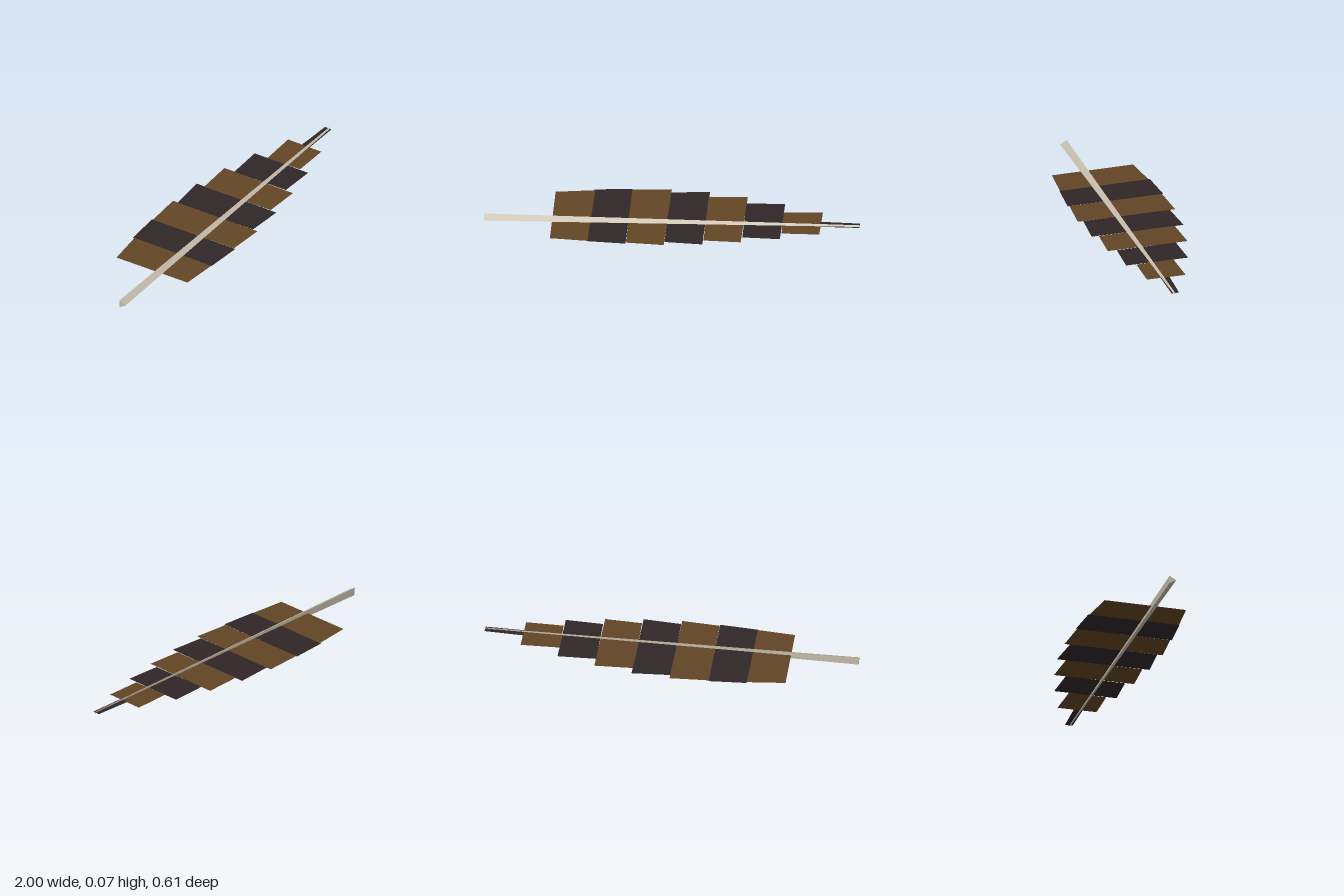
import * as THREE from 'three';

const material = (name, color, extra = {}) => {
  const m = new THREE.MeshStandardMaterial({ color, ...extra });
  m.name = name;
  return m;
};

export function createModel() {
  const group = new THREE.Group();
  group.name = 'feather';
  const quill = material('quill grey', 0xc4bcaa, { flatShading: true });
  const brown = material('vane brown', 0x634525, { side: THREE.DoubleSide });
  const dark = material('vane dark', 0x302628, { side: THREE.DoubleSide });

  // Three-sided tapering shaft, one ridge towards the front
  const butt = new THREE.Vector3(-1, 0.022, 0.174);
  const tip = new THREE.Vector3(1, 0.066, -0.127);
  const along = tip.clone().sub(butt);
  const length = along.length();
  along.normalize();
  const side = new THREE.Vector3(-along.z, 0, along.x).normalize();
  const down = along.clone().cross(side);
  const shaftGeometry = new THREE.CylinderGeometry(0.006, 0.025, length, 3).toNonIndexed();
  shaftGeometry.applyMatrix4(new THREE.Matrix4().makeBasis(down, along, side));
  shaftGeometry.computeVertexNormals();
  const shaft = new THREE.Mesh(shaftGeometry, quill);
  shaft.name = 'shaft';
  shaft.position.copy(butt).add(tip).multiplyScalar(0.5);
  group.add(shaft);

  // Vane bands as x, z corners: back left, front left, front right, back right
  const bands = [
    [-0.68, -0.15, -0.61, 0.3, -0.405, 0.287, -0.475, -0.205],
    [-0.48, -0.212, -0.405, 0.29, -0.2, 0.275, -0.28, -0.255],
    [-0.28, -0.248, -0.2, 0.265, 0.005, 0.25, -0.072, -0.29],
    [-0.07, -0.26, 0.002, 0.22, 0.207, 0.205, 0.135, -0.305],
    [0.138, -0.255, 0.205, 0.166, 0.405, 0.146, 0.345, -0.295],
    [0.352, -0.23, 0.403, 0.097, 0.605, 0.076, 0.557, -0.267],
    [0.565, -0.185, 0.602, 0.02, 0.803, -0.008, 0.775, -0.222],
    [0.782, -0.132, 0.79, -0.083, 1, -0.112, 0.995, -0.154],
  ];
  // The vane lies in the plane of the shaft's axis
  const height = (x, z) => 0.044 + 0.0215 * (0.988 * x - 0.153 * z);
  bands.forEach((c, i) => {
    const points = [];
    for (let k = 0; k < 8; k += 2) points.push(c[k], height(c[k], c[k + 1]), c[k + 1]);
    const geometry = new THREE.BufferGeometry();
    geometry.setAttribute('position', new THREE.Float32BufferAttribute(points, 3));
    geometry.setIndex([0, 1, 2, 0, 2, 3]);
    geometry.computeVertexNormals();
    const band = new THREE.Mesh(geometry, i % 2 ? dark : brown);
    band.name = `vaneBand${i + 1}`;
    group.add(band);
  });
  return group;
}
